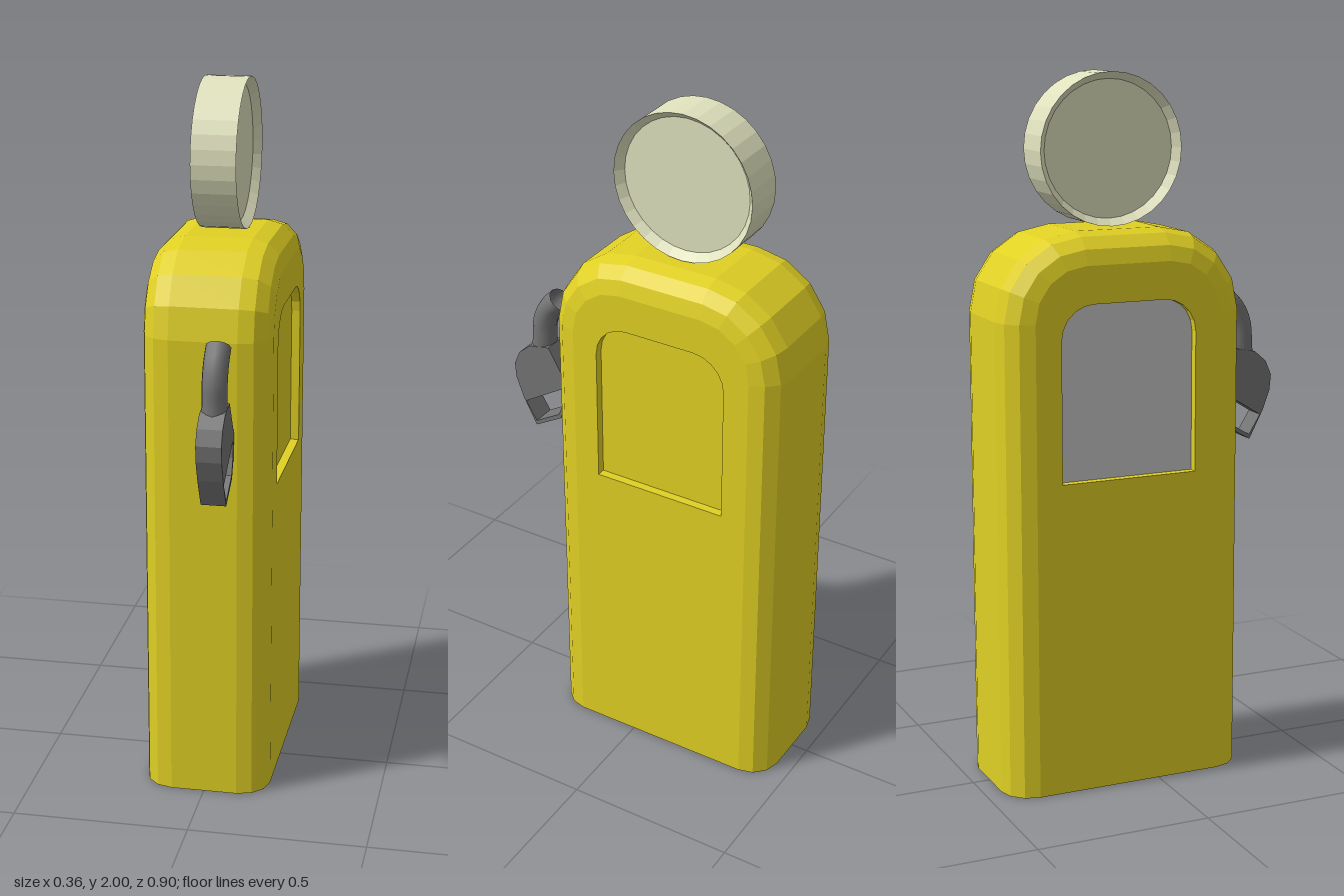
import * as THREE from 'three';

const yellow = new THREE.MeshStandardMaterial({ color: 0xe0d024, flatShading: true });
const cream = new THREE.MeshStandardMaterial({ color: 0xdfe1bd, flatShading: true });
const lightGrey = new THREE.MeshStandardMaterial({ color: 0xc8c8ca });
const darkGrey = new THREE.MeshStandardMaterial({ color: 0x747474, side: THREE.DoubleSide });
yellow.name = 'yellow paint';
cream.name = 'cream glass';
lightGrey.name = 'light grey panel';
darkGrey.name = 'dark grey metal';

const V2 = (x, y) => new THREE.Vector2(x, y);

function add(parent, name, geometry, material) {
  const mesh = new THREE.Mesh(geometry, material);
  mesh.name = name;
  parent.add(mesh);
  return mesh;
}

// Counter-clockwise outline with square feet and rounded shoulders
function arch(halfWidth, bottom, top, radius, segments) {
  const pts = [V2(-halfWidth, bottom), V2(halfWidth, bottom)];
  for (const side of [0, 1]) {
    const cx = (halfWidth - radius) * (side ? -1 : 1);
    for (let i = 0; i <= segments; i++) {
      const a = (side + i / segments) * Math.PI / 2;
      pts.push(V2(cx + radius * Math.cos(a), top - radius + radius * Math.sin(a)));
    }
  }
  return pts;
}

// Skin between successive outlines, each { pts, z }
function loft(rings) {
  const pos = [];
  for (let r = 0; r + 1 < rings.length; r++) {
    const a = rings[r], b = rings[r + 1], n = a.pts.length;
    for (let i = 0; i < n; i++) {
      const j = (i + 1) % n;
      const quad = [[a, i], [a, j], [b, j], [a, i], [b, j], [b, i]];
      for (const [ring, k] of quad) pos.push(ring.pts[k].x, ring.pts[k].y, ring.z);
    }
  }
  const g = new THREE.BufferGeometry();
  g.setAttribute('position', new THREE.Float32BufferAttribute(pos, 3));
  g.computeVertexNormals();
  return g;
}

export function createModel() {
  const model = new THREE.Group();
  model.name = 'fuelPump';

  // Profiles are drawn facing +z, then turned so their x runs along depth
  const turned = new THREE.Group();
  turned.name = 'pumpAssembly';
  turned.rotation.y = -Math.PI / 2;
  model.add(turned);

  const cabinet = new THREE.Group();
  cabinet.name = 'cabinet';
  cabinet.position.x = -0.09;
  turned.add(cabinet);

  // Cabinet shell with rounded side edges
  const half = 0.18, bevel = 0.085, steps = 3;
  const bodyArch = (inset) => arch(0.36 - inset, 0, 1.577 - inset, 0.235 - inset, 4);
  const rings = [];
  for (const s of [-1, 1]) {
    for (let i = 0; i <= steps; i++) {
      const a = (s < 0 ? steps - i : i) / steps * Math.PI / 2;
      rings.push({
        pts: bodyArch(bevel * (1 - Math.cos(a))),
        z: s * (half - bevel + bevel * Math.sin(a)),
      });
    }
  }
  add(cabinet, 'cabinetShell', loft(rings), yellow);

  // Side faces with a recessed window each
  const windowPts = arch(0.2, 0.895, 1.387, 0.095, 5);
  const floorZ = half - 0.025;
  for (const [name, turn, floorMaterial] of [['right', 0, lightGrey], ['left', Math.PI, yellow]]) {
    const side = new THREE.Group();
    side.name = name + 'Side';
    side.rotation.y = turn;
    cabinet.add(side);
    const face = new THREE.Shape(bodyArch(bevel));
    face.holes.push(new THREE.Path(windowPts));
    add(side, name + 'Face', new THREE.ShapeGeometry(face), yellow).position.z = half;
    add(side, name + 'WindowFrame',
      loft([{ pts: windowPts, z: half }, { pts: windowPts, z: floorZ }]), yellow);
    add(side, name + 'WindowPanel',
      new THREE.ShapeGeometry(new THREE.Shape(windowPts)), floorMaterial).position.z = floorZ;
  }

  // Round globe with dished faces
  const globeProfile = [
    V2(0, -0.039), V2(0.19, -0.039), V2(0.21, -0.063),
    V2(0.21, 0.063), V2(0.19, 0.039), V2(0, 0.039),
  ];
  const globe = add(cabinet, 'globe', new THREE.LatheGeometry(globeProfile, 32), cream);
  globe.rotation.x = Math.PI / 2;
  globe.position.y = 1.79;

  // Nozzle body with an open trigger guard
  const nozzle = new THREE.Group();
  nozzle.name = 'nozzle';
  turned.add(nozzle);
  const grip = new THREE.Shape([
    V2(0.384, 0.922), V2(0.299, 0.971), V2(0.277, 1.024), V2(0.272, 1.09),
    V2(0.334, 1.196), V2(0.399, 1.183), V2(0.435, 1.152), V2(0.453, 1.11),
    V2(0.449, 1.065), V2(0.427, 1.005),
  ].reverse());
  grip.holes.push(new THREE.Path([
    V2(0.418, 0.993), V2(0.383, 0.936), V2(0.305, 0.982), V2(0.287, 1.026), V2(0.283, 1.077),
  ]));
  const gripGeometry = new THREE.ExtrudeGeometry(grip, { depth: 0.07, bevelEnabled: false });
  add(nozzle, 'nozzleGrip', gripGeometry, darkGrey).position.z = -0.087;

  // Curved open spout
  const spoutPath = new THREE.CatmullRomCurve3(
    [[0.372, 1.16], [0.368, 1.2], [0.364, 1.26], [0.345, 1.307], [0.311, 1.343]]
      .map(([x, y]) => new THREE.Vector3(x, y, -0.052)));
  add(nozzle, 'spout', new THREE.TubeGeometry(spoutPath, 10, 0.035, 12), darkGrey);

  return model;
}
